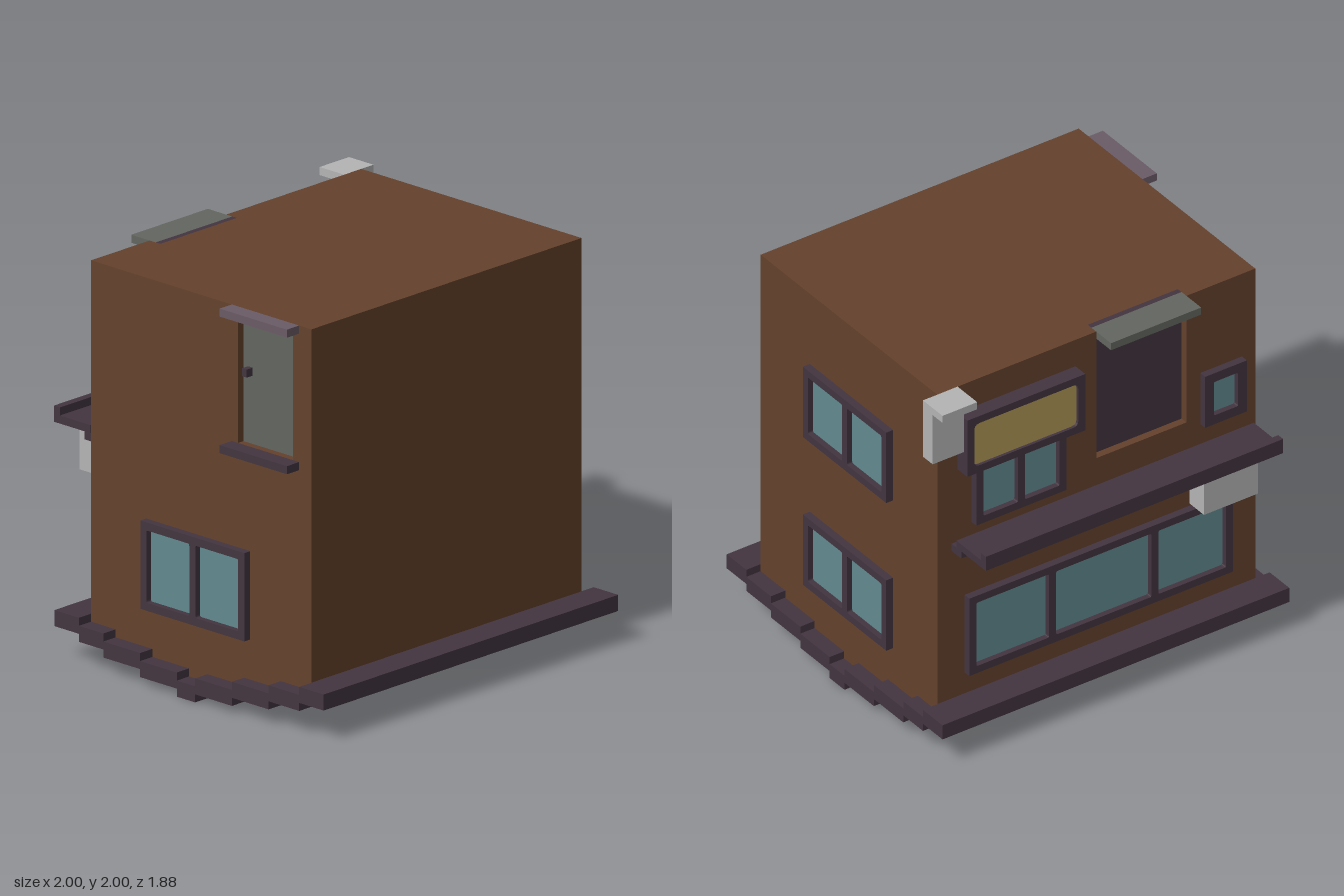
import * as THREE from 'three';

const mat = (name, color) => {
  const m = new THREE.MeshStandardMaterial({ color });
  m.name = name;
  return m;
};

export function createModel() {
  const model = new THREE.Group();
  model.name = 'house';
  const brown = mat('brown wall', 0x64422c);
  const plum = mat('dark plum trim', 0x433540);
  const mauve = mat('mauve canopy', 0x6b5b66);
  const slate = mat('slate grey', 0x636660);
  const glass = mat('teal glass', 0x628a90);
  const pale = mat('pale grey', 0xb4b4b4);
  const gold = mat('gold panel', 0xae9656);

  // Box from its minimum and maximum corners
  const box = (name, material, [x0, x1], [y0, y1], [z0, z1], parent = model) => {
    const mesh = new THREE.Mesh(new THREE.BoxGeometry(x1 - x0, y1 - y0, z1 - z0), material);
    mesh.position.set((x0 + x1) / 2, (y0 + y1) / 2, (z0 + z1) / 2);
    mesh.name = name;
    parent.add(mesh);
    return mesh;
  };

  const W = 0.917, BACK = -0.66, FRONT = 0.78;

  // Walls: solid lower block, then a plan with two recessed doorways
  box('lowerWalls', brown, [-W, W], [0.2, 1.28], [BACK, FRONT]);
  const plan = new THREE.Shape([
    [-W, FRONT], [W, FRONT], [W, BACK],
    [0, BACK], [0, -0.59], [-0.52, -0.59], [-0.52, BACK], [-W, BACK],
    [-W, 0.3], [-0.85, 0.3], [-0.85, 0.66], [-W, 0.66],
  ].map(([x, z]) => new THREE.Vector2(x, -z)));
  const upper = new THREE.Mesh(
    new THREE.ExtrudeGeometry(plan, { depth: 0.72, bevelEnabled: false }), brown);
  upper.rotation.x = -Math.PI / 2;
  upper.position.y = 1.28;
  upper.name = 'upperWalls';
  model.add(upper);
  box('sideDoorSill', brown, [-W, -0.85], [1.28, 1.32], [0.3, 0.66]);
  box('sideDoorLintel', brown, [-W, -0.85], [1.96, 2], [0.3, 0.66]);

  // Stepped plank hull under the house, with wall infill down to each plank
  const planks = [
    [-0.02, 0.1, 0],
    [-0.26, -0.02, 0.04], [0.1, 0.34, 0.04],
    [-0.5, -0.26, 0.08], [0.34, 0.58, 0.08],
    [-0.66, -0.5, 0.12], [0.58, 0.78, 0.12],
    [-0.82, -0.66, 0.16], [0.78, 0.94, 0.16],
  ];
  for (const [z0, z1, y] of planks) {
    box('basePlank', plum, [-1, 1], [y, y + 0.08], [z0, z1]);
    if (y < 0.12) box('wallInfill', brown, [-W, W], [y + 0.08, 0.2], [z0, z1]);
  }

  // Rectangle outline with softened corners
  const rounded = (path, x0, x1, y0, y1, r) => {
    path.moveTo(x0 + r, y0);
    path.lineTo(x1 - r, y0);
    path.quadraticCurveTo(x1, y0, x1, y0 + r);
    path.lineTo(x1, y1 - r);
    path.quadraticCurveTo(x1, y1, x1 - r, y1);
    path.lineTo(x0 + r, y1);
    path.quadraticCurveTo(x0, y1, x0, y1 - r);
    path.lineTo(x0, y0 + r);
    path.quadraticCurveTo(x0, y0, x0 + r, y0);
    return path;
  };

  // Framed opening facing local +z; bars are mullion centres
  const framed = (name, [x0, x1], [y0, y1], { bars = [], depth = 0.04, border = 0.04, r = 0.01, fill = glass }) => {
    const group = new THREE.Group();
    group.name = name;
    const shape = new THREE.Shape(
      [[x0, y0], [x1, y0], [x1, y1], [x0, y1]].map(([x, y]) => new THREE.Vector2(x, y)));
    const edges = [x0 + border, ...bars.flatMap(b => [b - 0.02, b + 0.02]), x1 - border];
    for (let i = 0; i < edges.length; i += 2) {
      shape.holes.push(rounded(new THREE.Path(), edges[i], edges[i + 1], y0 + border, y1 - border, r));
    }
    const frame = new THREE.Mesh(
      new THREE.ExtrudeGeometry(shape, { depth, bevelEnabled: false, curveSegments: 3 }), plum);
    frame.name = 'frame';
    group.add(frame);
    box('panel', fill, [x0 + 0.01, x1 - 0.01], [y0 + 0.01, y1 - 0.01], [0, depth - 0.03], group);
    model.add(group);
    return group;
  };
  const onRight = g => { g.rotation.y = Math.PI / 2; g.position.x = W; };
  const onLeft = g => { g.rotation.y = -Math.PI / 2; g.position.x = -W; };
  const onBack = g => { g.rotation.y = Math.PI; g.position.z = BACK; };

  // Side windows (local x is -z on the left wall's opposite side)
  onRight(framed('lowerSideWindow', [-0.38, 0.3], [0.36, 0.76], { bars: [-0.04] }));
  onRight(framed('upperSideWindow', [-0.38, 0.3], [1.2, 1.6], { bars: [-0.04] }));
  onLeft(framed('lowerSideWindow', [-0.3, 0.38], [0.36, 0.8], { bars: [0.04] }));

  // Back windows and sign board
  onBack(framed('shopWindow', [-0.76, 0.76], [0.36, 0.8], { bars: [-0.28, 0.31] }));
  onBack(framed('upperBackWindow', [-0.72, -0.2], [1.2, 1.56], { bars: [-0.46] }));
  onBack(framed('smallBackWindow', [0.6, 0.84], [1.24, 1.53], { border: 0.05 }));
  onBack(framed('signBoard', [-0.8, -0.12], [1.53, 1.85], { depth: 0.08, r: 0.03, fill: gold }))
  model.getObjectByName('signBoard').getObjectByName('panel').position.z += 0.015;

  // Recessed back door with canopy
  box('backDoor', plum, [-0.52, 0], [1.28, 2], [-0.62, -0.59]);
  box('backCanopy', slate, [-0.52, 0], [1.96, 2], [-0.78, -0.62]);

  // Side door, handle, canopy and step on the left-hand wall
  box('sideDoor', slate, [-0.88, -0.85], [1.32, 1.96], [0.3, 0.66]);
  box('doorHandle', plum, [-0.92, -0.88], [1.66, 1.7], [0.33, 0.36]);
  box('sideCanopy', mauve, [-1, -W], [1.96, 2], [0.26, 0.7]);
  box('sideStep', plum, [-1, -W], [1.28, 1.32], [0.26, 0.7]);

  // Long ledge across the back, with lip and support
  box('ledgeFloor', plum, [-0.88, 0.835], [1.12, 1.16], [-0.94, -0.7]);
  box('ledgeLip', plum, [-0.88, 0.835], [1.16, 1.2], [-0.94, -0.9]);
  box('ledgeSupport', plum, [-0.88, 0.835], [1.08, 1.12], [-0.74, BACK]);
  box('hangingBox', pale, [-0.79, -0.48], [0.88, 1.12], [-0.86, -0.74]);

  // Corner vent
  box('ventDuct', pale, [0.82, 1], [1.68, 1.96], [-0.74, BACK]);
  box('ventCap', pale, [0.8, 1], [1.96, 2], [-0.82, BACK]);

  return model;
}
